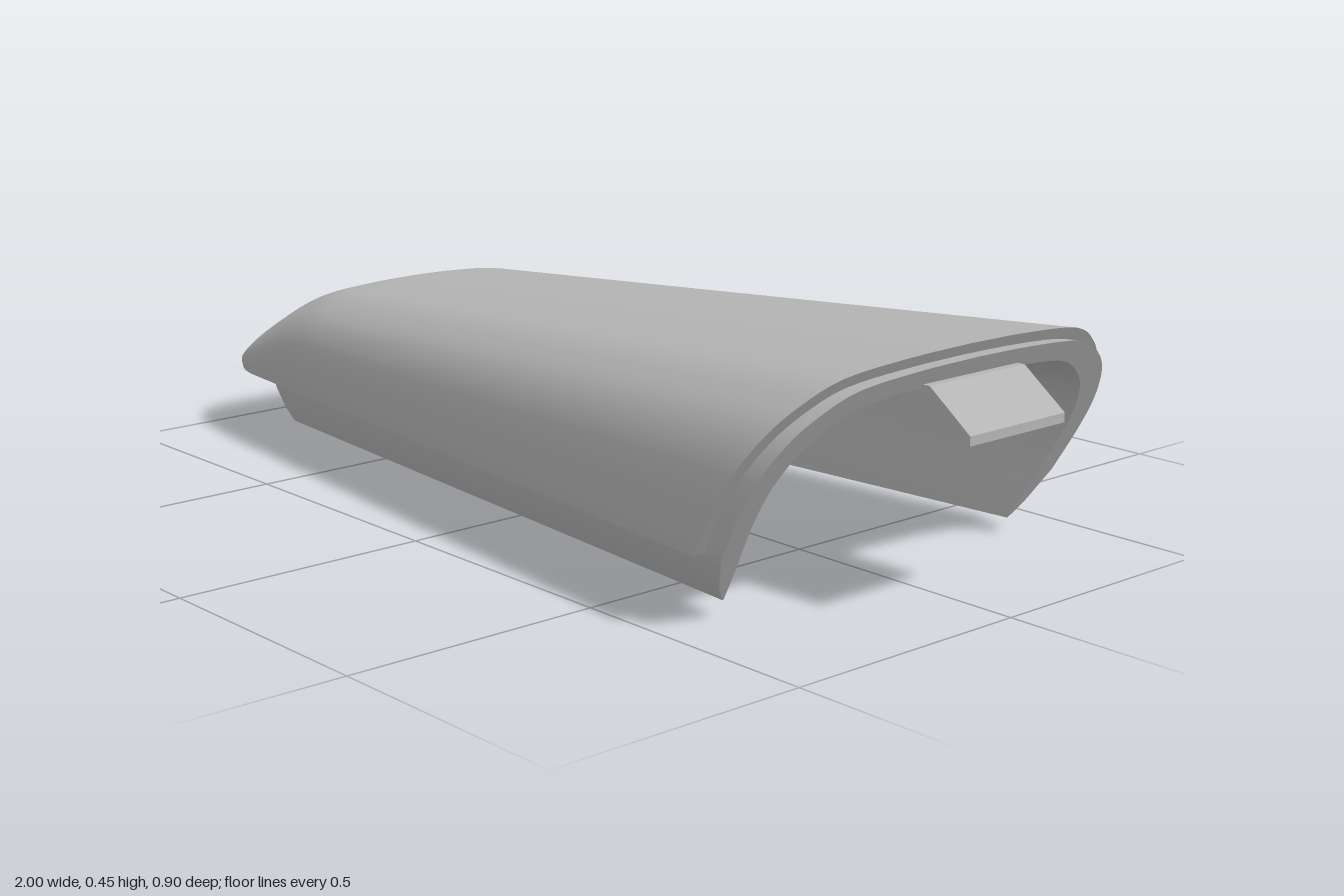
import * as THREE from 'three';
import { toCreasedNormals } from 'three/addons/utils/BufferGeometryUtils.js';

const BASE = 0.125;

// Half width and crown height of the cover along its length
function halfWidth(x) {
  const nose = Math.min(1, Math.max(0, (-0.86 - x) / 0.14));
  return 0.295 + 0.0963 * (x + 0.86) - 0.085 * (1 - Math.sqrt(1 - nose * nose));
}
function crown(x) {
  const t = Math.min(1, Math.max(0, (x + 1) / 0.37));
  return 0.34 + 0.0742 * (x + 0.63) - 0.172 * (1 - Math.sin(t * Math.PI / 2));
}

// Half section as fractions of width and height, from the side edge to the crown
const arch = new THREE.SplineCurve([
  [0.99, 0], [1, 0.28], [0.98, 0.5], [0.91, 0.7], [0.8, 0.84], [0.63, 0.95], [0.32, 0.99], [0, 1],
].map(([z, y]) => new THREE.Vector2(z, y))).getPoints(28);

// A section function: list of (x) => [y, z], running from +z over the top to -z
function section(insetW, insetH, skirt = []) {
  const half = [
    ...skirt.map(([z, y]) => (x) => [y, z * (halfWidth(x) - insetW)]),
    ...arch.map((p) => (x) => [
      BASE + p.y * Math.max(crown(x) - insetH - BASE, 0.004),
      p.x * (halfWidth(x) - insetW),
    ]),
  ];
  const mirrored = half.slice(0, -1).reverse().map((f) => (x) => {
    const [y, z] = f(x);
    return [y, -z];
  });
  return [...half, ...mirrored];
}

// Closed shell between an outer and an inner section, with slanted ends
function shell(outer, inner, leftEnd, rightEnd, steps) {
  const n = outer.length, m = n * 2;
  const loop = [...outer, ...inner.slice().reverse()];
  const pos = [], index = [];
  for (let j = 0; j <= steps; j++) {
    const u = Math.pow(j / steps, 1.7);
    for (const f of loop) {
      let x = -1 + 1.8 * u;
      for (let k = 0; k < 8; k++) {
        const y = f(x)[0];
        x = leftEnd(y) + u * (rightEnd(y) - leftEnd(y));
      }
      pos.push(x, ...f(x));
    }
  }
  for (let j = 0; j < steps; j++) {
    for (let i = 0; i < m; i++) {
      const a = j * m + i, b = j * m + (i + 1) % m;
      index.push(a, a + m, b, a + m, b + m, b);
    }
  }
  for (let i = 0; i < n - 1; i++) {
    const k = m - 1 - i, e = steps * m;
    index.push(e + i, e + k, e + i + 1, e + k, e + k - 1, e + i + 1);
    index.push(i, i + 1, k, k, i + 1, k - 1);
  }
  const geo = new THREE.BufferGeometry();
  geo.setAttribute('position', new THREE.Float32BufferAttribute(pos, 3));
  geo.setIndex(index);
  return toCreasedNormals(geo, 0.6);
}

function extrude(points, depth) {
  const geo = new THREE.ExtrudeGeometry(
    new THREE.Shape(points.map(([a, b]) => new THREE.Vector2(a, b))),
    { depth, bevelEnabled: false });
  return geo.translate(0, 0, -depth / 2);
}

export function createModel() {
  const model = new THREE.Group();
  const grey = new THREE.MeshStandardMaterial({ color: 0xb4b4b4, side: THREE.DoubleSide });
  grey.name = 'plain grey';
  const add = (name, geo) => {
    const mesh = new THREE.Mesh(geo, grey);
    mesh.name = name;
    model.add(mesh);
    return mesh;
  };

  // Smooth outer cover, cut at a slant on the wide end
  add('outerCover', shell(section(0, 0), section(0.03, 0.024),
    () => -1, (y) => 0.69 + (y - BASE) * 0.615, 56));

  // Inner liner with a side skirt below the cover and a lip past its open end
  const innerSection = section(0.07, 0.055, [[0.97, 0.03], [0.975, 0.07], [0.98, 0.1]]);
  add('innerLiner', shell(
    section(0.025, 0.02, [[0.87, 0.03], [0.925, 0.06], [0.965, 0.1]]), innerSection,
    (y) => -0.82 + Math.max(0, 0.11 - y) * 0.4,
    (y) => 0.682 + (y - 0.03) * 0.572, 40));

  // Cross ribs hanging under the roof
  for (let i = 0; i < 5; i++) {
    const x = 0.68 - i * 0.21, low = 0.325 - i * 0.0158;
    const outline = innerSection.map((f) => f(x)).filter(([y]) => y > low)
      .map(([y, z]) => [z * 1.02, y + 0.006]);
    outline.unshift([outline[0][0] + 0.004, low]);
    outline.push([-outline[0][0], low]);
    const rib = add('crossRib', extrude(outline, 0.02));
    rib.rotation.y = Math.PI / 2;
    rib.position.x = x;
  }

  // Floor plate under the nose
  const floor = [[-0.94, 0.2], [-0.9, 0.24], [-0.81, 0.26]];
  const plate = add('noseFloor', extrude([...floor, ...floor.map(([x, z]) => [x, -z]).reverse()], 0.015));
  plate.rotation.x = Math.PI / 2;
  plate.position.y = 0.122;

  // Locating tongue with flared shoulders, foot and stiffening web
  const side = [[0.08, 0.01], [0.08, 0.12], [0.09, 0.145], [0.11, 0.165], [0.17, 0.19], [0.17, 0.205]];
  const tongue = add('tongue', extrude([...side, ...side.map(([z, y]) => [-z, y]).reverse()], 0.025));
  tongue.rotation.y = Math.PI / 2;
  tongue.position.x = -0.772;
  add('tongueFoot', extrude(
    [[-0.785, 0.03], [-0.78, 0.003], [-0.66, 0], [-0.642, 0.012], [-0.66, 0.026]], 0.16));
  add('tongueWeb', extrude(
    [[-0.78, 0.018], [-0.73, 0.018], [-0.72, 0.18], [-0.68, 0.26], [-0.78, 0.25]], 0.024));

  // Wedge hook at the open end
  add('hook', extrude(
    [[0.84, 0.318], [1, 0.318], [1, 0.335], [0.91, 0.402], [0.86, 0.402]], 0.238));

  return model;
}
